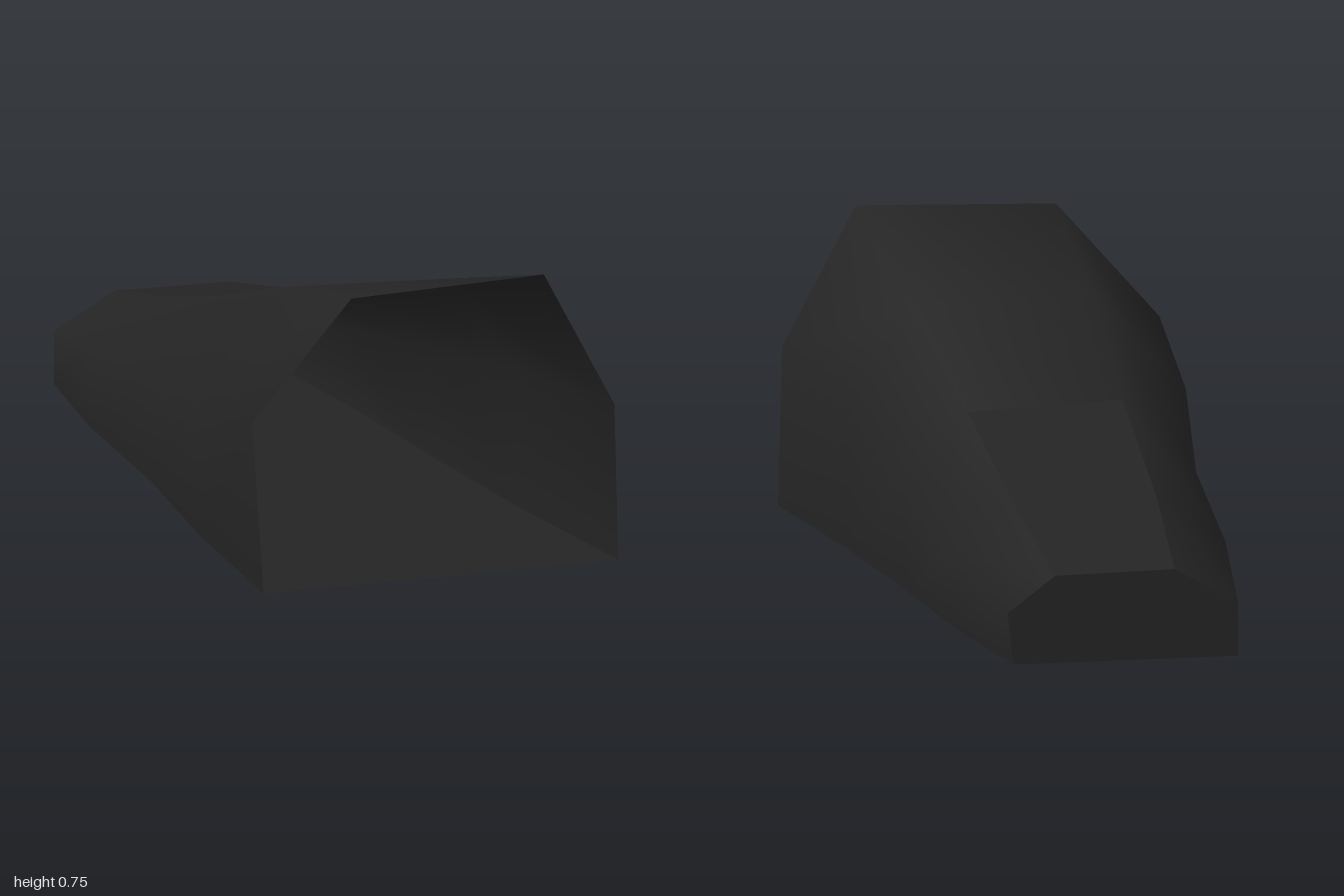
import * as THREE from 'three';

// Cross-sections from the open mouth to the closed tail.
// Each outline runs left base, left knee, left shoulder, right shoulder, right knee, right base.
const SECTIONS = [
  { z: 1, pts: [[-0.45, 0], [-0.48, 0.44], [-0.22, 0.735], [0.285, 0.75], [0.47, 0.4], [0.48, 0]] },
  { z: 0.45, pts: [[-0.42, 0], [-0.44, 0.37], [-0.205, 0.62], [0.245, 0.6], [0.41, 0.35], [0.41, 0]] },
  { z: -0.07, pts: [[-0.365, 0], [-0.365, 0.27], [-0.18, 0.46], [0.21, 0.445], [0.37, 0.27], [0.365, 0]] },
  { z: -0.58, pts: [[-0.34, 0], [-0.34, 0.2], [-0.165, 0.325], [0.19, 0.31], [0.34, 0.195], [0.33, 0]] },
  { z: -1, pts: [[-0.29, 0], [-0.29, 0.135], [-0.13, 0.225], [0.17, 0.22], [0.29, 0.13], [0.275, 0]] },
];

// Skin the chosen outline points between sections, leaving out skipped panels
function skin(sections, columns, skip = () => false) {
  const positions = [];
  const index = [];
  const n = columns.length;
  sections.forEach(({ z, pts }, i) => {
    columns.forEach((c, j) => {
      positions.push(pts[c][0], pts[c][1], z);
      if (i === sections.length - 1 || j === n - 1 || skip(i, j)) return;
      const a = i * n + j;
      const b = a + 1;
      index.push(a, b, a + n, b, b + n, a + n);
    });
  });
  const geometry = new THREE.BufferGeometry();
  geometry.setAttribute('position', new THREE.Float32BufferAttribute(positions, 3));
  geometry.setIndex(index);
  geometry.computeVertexNormals();
  return geometry;
}

export function createModel() {
  const group = new THREE.Group();
  group.name = 'taperedHood';
  const black = new THREE.MeshStandardMaterial({ color: 0x242424, side: THREE.DoubleSide });
  black.name = 'charcoal';

  const add = (name, geometry) => {
    const mesh = new THREE.Mesh(geometry, black);
    mesh.name = name;
    group.add(mesh);
    return mesh;
  };

  // Smooth walls and front roof; the rear roof is a separate crisp panel
  add('shell', skin(SECTIONS, [0, 1, 2, 3, 4, 5], (i, j) => i >= 2 && j === 2));
  add('rearRoof', skin(SECTIONS.slice(2), [2, 3]));

  // Flat floor
  add('floor', skin(SECTIONS, [5, 0]));

  // Tail wall
  const tail = SECTIONS[SECTIONS.length - 1];
  const outline = new THREE.Shape(tail.pts.map(([x, y]) => new THREE.Vector2(x, y)));
  add('tailWall', new THREE.ShapeGeometry(outline)).position.z = tail.z;

  return group;
}
